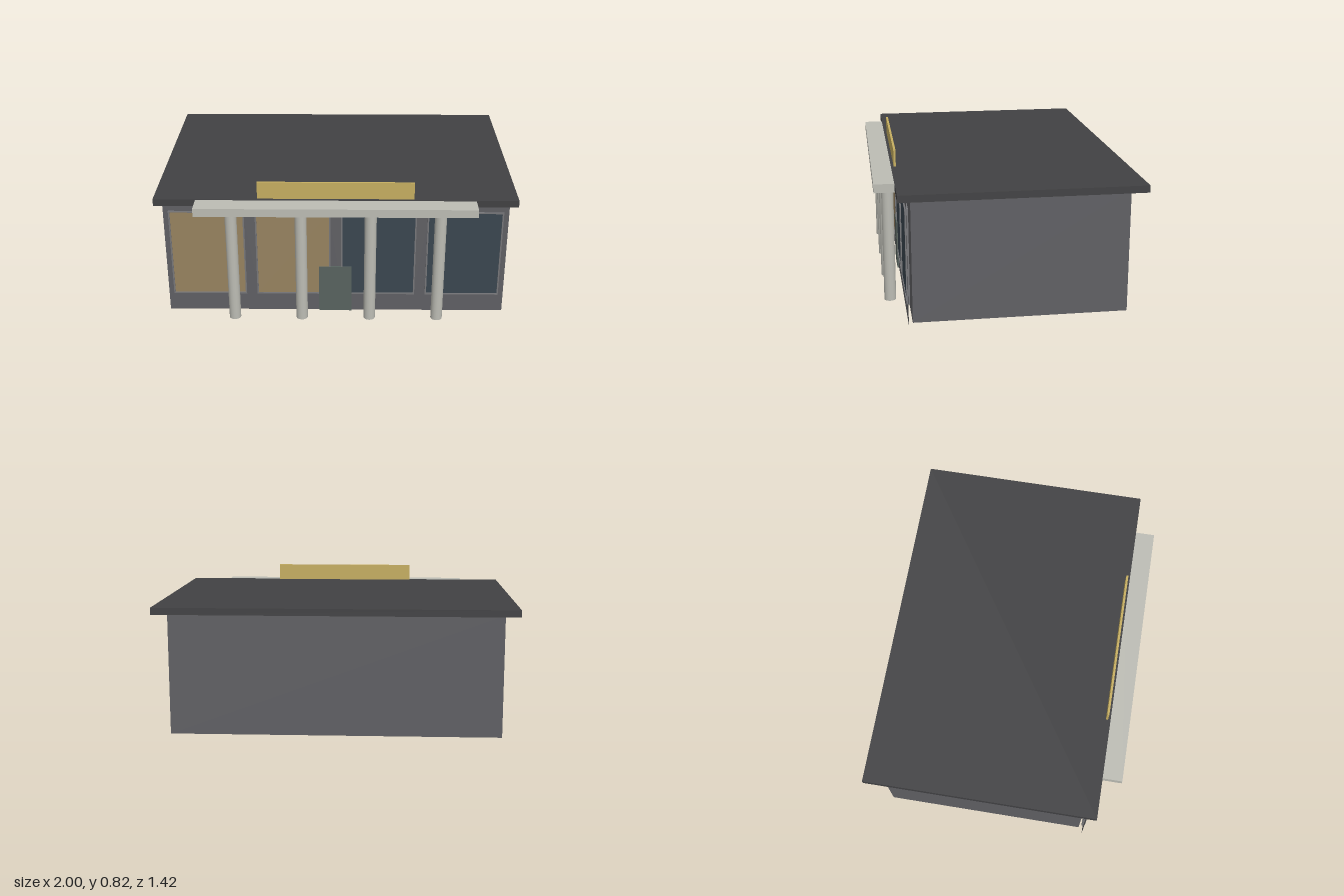
import * as THREE from 'three';

const mat = (color, side = THREE.FrontSide) => new THREE.MeshStandardMaterial({ color, side });

export function createModel() {
  const model = new THREE.Group();
  const wall = mat(0x606064);
  const wallSheet = mat(0x606064, THREE.DoubleSide);
  const roofMat = mat(0x414143);
  const stone = mat(0xbcbcb4);
  const gold = mat(0xc6ae60);
  const frameMat = mat(0x77777a);
  const warmGlass = mat(0x988360, THREE.DoubleSide);
  const darkGlass = mat(0x3a4650, THREE.DoubleSide);
  const doorMat = mat(0x58635f);

  const add = (name, geometry, material, parent = model) => {
    const mesh = new THREE.Mesh(geometry, material);
    mesh.name = name;
    parent.add(mesh);
    return mesh;
  };

  // Box given by its lower and upper limits on each axis
  const box = (name, [x0, x1], [y0, y1], [z0, z1], material) => {
    const mesh = add(name, new THREE.BoxGeometry(x1 - x0, y1 - y0, z1 - z0), material);
    mesh.position.set((x0 + x1) / 2, (y0 + y1) / 2, (z0 + z1) / 2);
  };

  const rect = (Type, x0, x1, y0, y1) => {
    const s = new Type();
    s.moveTo(x0, y0);
    s.lineTo(x1, y0);
    s.lineTo(x1, y1);
    s.lineTo(x0, y1);
    s.closePath();
    return s;
  };

  // Building, a little narrower than its front wall, and overhanging roof
  box('building', [-0.925, 0.925], [0, 0.687], [-0.635, 0.53], wall);
  box('roof', [-1, 1], [0.687, 0.726], [-0.712, 0.6], roofMat);

  // Thin front wall with four window openings
  const centres = [-0.72, -0.24, 0.24, 0.72];
  const halfW = 0.21, sill = 0.109, head = 0.634, trim = 0.008;
  const front = rect(THREE.Shape, -0.959, 0.959, 0, 0.687);
  for (const x of centres) {
    front.holes.push(rect(THREE.Path, x - halfW + trim, x + halfW - trim, sill + trim, head - trim));
  }
  add('frontWall', new THREE.ShapeGeometry(front), wallSheet).position.z = 0.553;

  // Windows: a slim frame around a pane
  centres.forEach((x, i) => {
    const win = new THREE.Group();
    win.name = 'window' + (i + 1);
    win.position.set(x, 0, 0.542);
    const ring = rect(THREE.Shape, -halfW, halfW, sill, head);
    ring.holes.push(rect(THREE.Path, -halfW + trim, halfW - trim, sill + trim, head - trim));
    add('windowFrame', new THREE.ExtrudeGeometry(ring, { depth: 0.019, bevelEnabled: false }), frameMat, win);
    const pane = new THREE.PlaneGeometry(2 * (halfW - trim), head - sill - 2 * trim);
    add('windowPane', pane, i < 2 ? warmGlass : darkGlass, win).position.set(0, (sill + head) / 2, 0.014);
    model.add(win);
  });

  // Door
  box('door', [-0.096, 0.09], [0, 0.287], [0.552, 0.563], doorMat);

  // Porch: beam on four round columns
  box('porchBeam', [-0.768, 0.768], [0.676, 0.723], [0.55, 0.71], stone);
  for (const x of [-0.575, -0.192, 0.192, 0.575]) {
    add('column', new THREE.CylinderGeometry(0.033, 0.033, 0.676, 16), stone).position.set(x, 0.338, 0.631);
  }

  // Plain board above the roof edge
  box('signBoard', [-0.43, 0.43], [0.7, 0.823], [0.573, 0.585], gold);

  return model;
}
